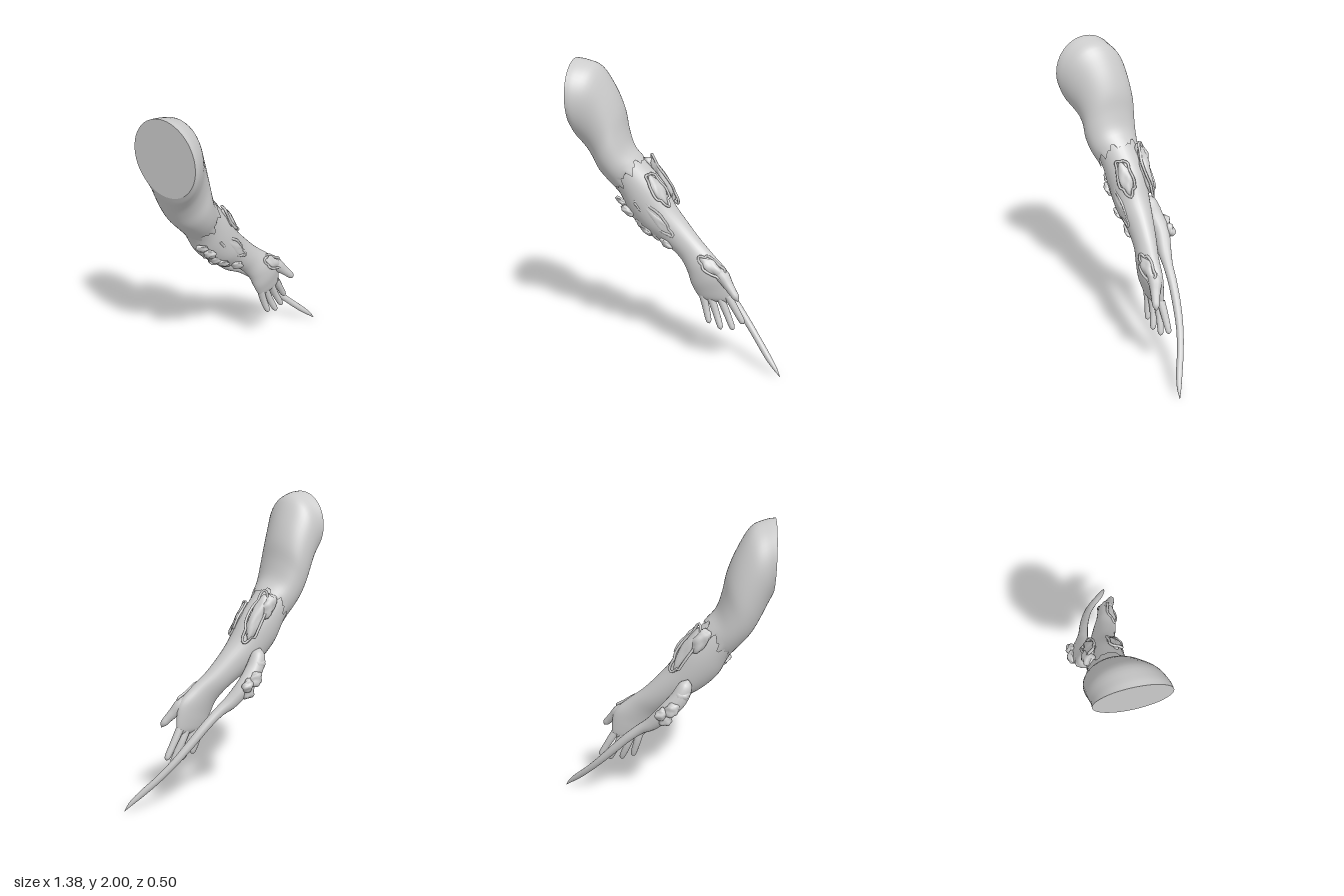
import * as THREE from 'three';

const V = (x, y, z) => new THREE.Vector3(x, y, z);
const skinMat = new THREE.MeshStandardMaterial({ color: 0xcccccc, side: THREE.DoubleSide });

// Smooth wobble used for torn flesh and cloth
const wobble = (p, s) =>
  Math.sin(p.x * 4.1 + s * 2.3) * Math.sin(p.y * 3.7 + s) + 0.6 * Math.sin(p.z * 5.3 + p.x * 6.1 + s * 1.7);

// Skins a list of closed rings of points
function skin(name, rings) {
  const n = rings[0].length, index = [];
  for (let i = 0; i < rings.length - 1; i++)
    for (let j = 0; j < n; j++) {
      const a = i * n + j, b = i * n + (j + 1) % n;
      index.push(a, b, a + n, b, b + n, a + n);
    }
  const g = new THREE.BufferGeometry().setFromPoints(rings.flat());
  g.setIndex(index);
  g.computeVertexNormals();
  const mesh = new THREE.Mesh(g, skinMat);
  mesh.name = name;
  return mesh;
}

// Elliptical rings between a lower and an upper silhouette edge:
// each row is [lower x, lower y, upper x, upper y, back z, front z]
function sectionRings(rows, steps, n) {
  const lower = new THREE.CatmullRomCurve3(rows.map(r => V(r[0], r[1], r[4])), false, 'catmullrom');
  const upper = new THREE.CatmullRomCurve3(rows.map(r => V(r[2], r[3], r[5])), false, 'catmullrom');
  return Array.from({ length: steps + 1 }, (_, i) => {
    const a = lower.getPoint(i / steps), b = upper.getPoint(i / steps);
    const c = a.clone().add(b).multiplyScalar(0.5), h = b.clone().sub(a).multiplyScalar(0.5);
    return Array.from({ length: n }, (_, j) => {
      const t = j / n * Math.PI * 2;
      return V(c.x + h.x * Math.cos(t), c.y + h.y * Math.cos(t), c.z + h.z * Math.sin(t));
    });
  });
}

// Tapered round limb; each row is [x, y, z, radius]
function limb(name, rows, steps = 20, n = 12) {
  const path = new THREE.CatmullRomCurve3(rows.map(r => V(r[0], r[1], r[2])), false, 'catmullrom');
  const radius = new THREE.CatmullRomCurve3(rows.map((r, i) => V(i, r[3], 0)), false, 'catmullrom');
  const rings = [];
  for (let i = 0; i <= steps; i++) {
    const p = path.getPoint(i / steps), d = path.getTangent(i / steps);
    const r = Math.max(radius.getPoint(i / steps).y, 0.001);
    const u = V(0, 0, 1).cross(d).normalize(), w = d.clone().cross(u);
    rings.push(Array.from({ length: n }, (_, j) => {
      const t = j / n * Math.PI * 2;
      return p.clone().addScaledVector(u, r * Math.cos(t)).addScaledVector(w, r * Math.sin(t));
    }));
  }
  return skin(name, rings);
}

// Lumpy flattened growth: long axis along dir, thin axis along normal
function lump(name, pos, dir, normal, size, seed) {
  const g = new THREE.SphereGeometry(1, 24, 16), p = g.attributes.position, v = V();
  for (let i = 0; i < p.count; i++) {
    v.fromBufferAttribute(p, i);
    v.multiplyScalar(1 + 0.13 * wobble(v, seed));
    p.setXYZ(i, v.x, v.y, v.z);
  }
  g.scale(...size);
  g.computeVertexNormals();
  const x = V(...dir).normalize(), y = V(...normal).cross(x).normalize();
  const mesh = new THREE.Mesh(g, skinMat);
  mesh.quaternion.setFromRotationMatrix(new THREE.Matrix4().makeBasis(x, y, x.clone().cross(y)));
  mesh.position.set(...pos);
  mesh.name = name;
  return mesh;
}

// Ragged raised lip around a wound, with a smaller growth inside it
function wound(name, pos, dir, normal, [len, wid, thick], seed) {
  const group = new THREE.Group();
  group.name = name;
  const core = lump(name + 'Flesh', pos, dir, normal, [len * 0.9, wid * 0.85, thick], seed);
  const pts = Array.from({ length: 22 }, (_, i) => {
    const t = i / 22 * Math.PI * 2, k = 1 + 0.1 * Math.sin(5 * t + seed) + 0.05 * Math.sin(9 * t);
    return V(len * k * Math.cos(t), wid * k * Math.sin(t), thick * 0.2 * Math.cos(3 * t + seed) + thick * 0.3);
  });
  const lip = new THREE.Mesh(new THREE.TubeGeometry(new THREE.CatmullRomCurve3(pts, true), 66, 0.009, 6, true), skinMat);
  lip.name = name + 'Lip';
  lip.position.copy(core.position);
  lip.quaternion.copy(core.quaternion);
  group.add(core, lip);
  return group;
}

export function createModel() {
  const model = new THREE.Group();
  model.name = 'tornArm';

  // Upper arm sleeve with a ragged cuff
  const sleeve = sectionRings([
    [-0.69, 1.54, -0.69, 2.0, -0.2, 0.25], [-0.675, 1.5, -0.63, 1.99, -0.2, 0.245],
    [-0.655, 1.46, -0.54, 1.95, -0.21, 0.22], [-0.63, 1.41, -0.46, 1.82, -0.215, 0.18],
    [-0.6, 1.35, -0.405, 1.68, -0.215, 0.16], [-0.56, 1.28, -0.38, 1.55, -0.205, 0.16],
    [-0.5, 1.21, -0.345, 1.44, -0.19, 0.145], [-0.44, 1.14, -0.28, 1.365, -0.17, 0.115],
  ], 28, 48);
  sleeve.at(-1).forEach((p, j) => {
    const k = 0.022 * Math.sin(j * 0.95) + 0.018 * Math.sin(j * 2.2 + 1);
    p.add(V(0.6 * k, -0.8 * k, 0));
  });
  model.add(skin('sleeve', sleeve));

  // Flat cut at the shoulder
  const cut = new THREE.Shape(sleeve[0].map(p => new THREE.Vector2(p.z, p.y)));
  const cap = new THREE.Mesh(new THREE.ShapeGeometry(cut), skinMat);
  cap.rotation.y = -Math.PI / 2;
  cap.position.x = -0.69;
  cap.name = 'shoulderCut';
  model.add(cap);

  // Forearm running into the wrist and palm
  model.add(skin('forearmAndPalm', sectionRings([
    [-0.5, 1.22, -0.35, 1.42, -0.16, 0.11], [-0.43, 1.12, -0.25, 1.32, -0.16, 0.1],
    [-0.37, 1.0, -0.14, 1.2, -0.15, 0.1], [-0.26, 0.89, -0.06, 1.06, -0.125, 0.1],
    [-0.13, 0.81, 0.02, 0.96, -0.09, 0.09], [-0.02, 0.73, 0.12, 0.85, -0.05, 0.1],
    [0.04, 0.65, 0.22, 0.76, -0.01, 0.125], [0.07, 0.57, 0.31, 0.67, 0.015, 0.13],
    [0.1, 0.51, 0.335, 0.57, 0.03, 0.115], [0.125, 0.475, 0.335, 0.485, 0.045, 0.1],
    [0.15, 0.455, 0.31, 0.45, 0.07, 0.08],
  ], 50, 32)));

  // Four fingers, each [base x, y, tip x, y, tip z]
  const fingers = { littleFinger: [0.145, 0.5, 0.2, 0.3, 0.1], ringFinger: [0.2, 0.48, 0.282, 0.27, 0.11],
    middleFinger: [0.265, 0.48, 0.362, 0.27, 0.1], indexFinger: [0.315, 0.5, 0.425, 0.31, 0.075] };
  for (const [name, [x, y, tx, ty, tz]] of Object.entries(fingers)) {
    const at = (t, r) => [x + (tx - x) * t, y + (ty - y) * t, 0.07 + (tz - 0.07) * t * t, r];
    model.add(limb(name, [at(0, 0.026), at(0.3, 0.025), at(0.55, 0.023), at(0.8, 0.021), at(0.94, 0.016), at(1, 0.001)]));
  }
  model.add(limb('thumb', [[0.22, 0.69, 0.08, 0.03], [0.28, 0.65, 0.095, 0.045], [0.325, 0.6, 0.12, 0.034],
    [0.36, 0.56, 0.14, 0.027], [0.385, 0.53, 0.152, 0.022], [0.4, 0.505, 0.158, 0.001]]));

  // Long tendril growing from the back of the forearm
  model.add(limb('tendril', [[-0.18, 1.0, -0.14, 0.005], [-0.165, 0.96, -0.145, 0.045], [-0.12, 0.87, -0.155, 0.058],
    [-0.04, 0.78, -0.16, 0.055], [0.05, 0.68, -0.13, 0.046], [0.13, 0.62, -0.105, 0.034], [0.22, 0.54, -0.083, 0.03],
    [0.32, 0.43, -0.052, 0.028], [0.42, 0.315, -0.01, 0.024], [0.51, 0.21, 0.045, 0.022],
    [0.59, 0.12, 0.105, 0.021], [0.65, 0.055, 0.145, 0.014], [0.69, 0.005, 0.165, 0.001]], 60, 14));
  const knots = [[-0.08, 0.82, -0.215, 0.042], [-0.015, 0.79, -0.215, 0.036], [-0.04, 0.74, -0.19, 0.04], [-0.14, 0.9, -0.17, 0.045]];
  knots.forEach(([x, y, z, r], i) =>
    model.add(lump('tendrilKnot' + (i + 1), [x, y, z], [0.6, -0.8, 0], [0, 0, -1], [r * 1.25, r, r * 0.85], i)));

  // Torn patches on the front, upper side, back and wrist
  model.add(wound('frontWound', [-0.18, 1.01, 0.082], [0.7, -0.7, 0], [-0.05, 0, 1], [0.165, 0.04, 0.02], 1));
  model.add(wound('upperWound', [-0.16, 1.18, 0.045], [0.55, -0.83, 0], [0.75, 0.5, 0.6], [0.12, 0.05, 0.025], 2));
  model.add(wound('backWound', [-0.17, 1.2, -0.115], [0.5, -0.85, 0], [0.65, 0.4, -0.7], [0.18, 0.05, 0.035], 3));
  model.add(wound('wristWound', [0.215, 0.705, 0.108], [0.8, -0.55, 0.05], [0.3, 0.4, 0.85], [0.1, 0.045, 0.025], 4));
  model.add(lump('backGrowth', [-0.25, 1.27, -0.135], [0.6, -0.8, 0], [0.4, 0.3, -0.8], [0.09, 0.05, 0.04], 5));

  // Ragged flesh along the underside
  for (let i = 0; i < 9; i++) {
    const t = i / 8;
    model.add(lump('undersideShred' + (i + 1), [-0.41 + 0.35 * t, 1.075 - 0.27 * t - 0.045 * Math.sin(t * Math.PI), 0.035 + 0.025 * Math.sin(i * 2)],
      [0.75, -0.65, 0.15 * Math.sin(i * 3)], [-0.5, -0.6, 0.5], [0.05, 0.035, 0.018 + 0.005 * (i % 2)], i + 6));
  }
  return model;
}
